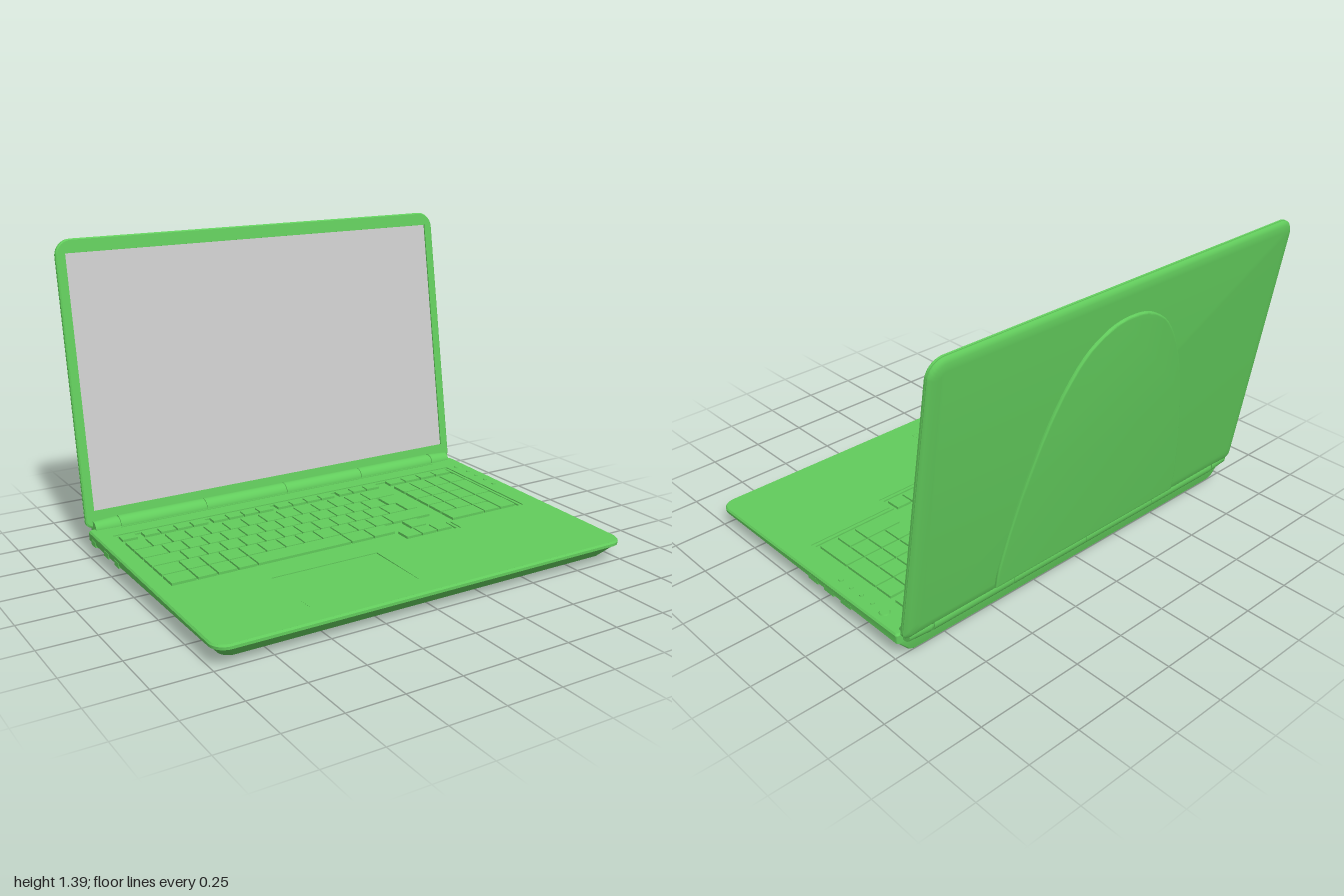
import * as THREE from 'three';
import { toCreasedNormals } from 'three/addons/utils/BufferGeometryUtils.js';

const green = new THREE.MeshStandardMaterial({ color: 0x62cc5c });
const grey = new THREE.MeshStandardMaterial({ color: 0xcccccc });

function add(parent, name, geometry, x = 0, y = 0, z = 0, material = green) {
  const mesh = new THREE.Mesh(geometry, material);
  mesh.name = name;
  mesh.position.set(x, y, z);
  parent.add(mesh);
  return mesh;
}

// Rounded rectangle, counter-clockwise, with separate lower and upper corner radii
function plate(hw, y0, y1, r0, r1) {
  const s = new THREE.Shape();
  s.absarc(hw - r0, y0 + r0, r0, -Math.PI / 2, 0);
  s.absarc(hw - r1, y1 - r1, r1, 0, Math.PI / 2);
  s.absarc(-hw + r1, y1 - r1, r1, Math.PI / 2, Math.PI);
  s.absarc(-hw + r0, y0 + r0, r0, Math.PI, Math.PI * 1.5);
  return s;
}

const rect = (x0, y0, x1, y1) => new THREE.Path([
  [x0, y0], [x1, y0], [x1, y1], [x0, y1],
].map(p => new THREE.Vector2(...p)));

// Skin stacked outlines from low z to high z, closing the lowest one
function loft(layers) {
  const pos = [], index = [];
  let n = 0;
  for (const [shape, height] of layers) {
    const pts = shape.getPoints(8);
    n = pts.length;
    for (const p of pts) pos.push(p.x, p.y, typeof height === 'function' ? height(p.y) : height);
  }
  for (let i = 0; i < layers.length - 1; i++) {
    for (let j = 0; j < n; j++) {
      const a = i * n + j, b = i * n + (j + 1) % n;
      index.push(a, b, b + n, a, b + n, a + n);
    }
  }
  for (let j = 1; j < n - 1; j++) index.push(0, j + 1, j);
  const g = new THREE.BufferGeometry();
  g.setAttribute('position', new THREE.Float32BufferAttribute(pos, 3));
  g.setIndex(index);
  return toCreasedNormals(g, 0.5);
}

const slab = (shape, depth) =>
  new THREE.ExtrudeGeometry(shape, { depth, bevelEnabled: false, curveSegments: 8 });

// Keyboard opening with the extra bay for the arrow keys
const keyboardOutline = d => new THREE.Path([
  [-0.93 + d, 0.4 - d], [-0.93 + d, -0.215 + d], [0.165 + d, -0.215 + d], [0.165 + d, -0.295 + d],
  [0.46 - d, -0.295 + d], [0.46 - d, -0.215 + d], [0.89 - d, -0.215 + d], [0.89 - d, 0.4 - d],
].map(p => new THREE.Vector2(...p)));

function buildKeys(deck) {
  const keys = new THREE.Group();
  keys.name = 'keys';
  deck.add(keys);
  const key = (x0, x1, z0, z1) => add(keys, 'key',
    new THREE.BoxGeometry(x1 - x0 - 0.008, z1 - z0 - 0.008, 0.012), (x0 + x1) / 2, -(z0 + z1) / 2, -0.007);
  const row = (x, z0, z1, widths) => {
    for (const w of widths) { key(x, x + w, z0, z1); x += w; }
  };
  const p = 0.093;
  const same = (n, w = p) => Array(n).fill(w);
  const z = [-0.308, -0.208, -0.108, -0.01, 0.09, 0.187];
  // Function keys in blocks
  for (const [x, n] of [[-0.912, 1], [-0.808, 4], [-0.472, 4], [-0.136, 4], [0.2, 3]]) {
    row(x, -0.388, -0.332, same(n, 0.079));
  }
  // Main rows
  row(-0.912, z[0], z[1], [...same(13), 0.141]);
  row(-0.912, z[1], z[2], [0.126, ...same(12)]);
  row(-0.912, z[2], z[3], [0.167, ...same(12)]);
  row(-0.912, z[3], z[4], [0.118, ...same(11), 0.209]);
  row(-0.912, z[4], z[5], [0.118, p, p, p, 0.463, 0.116, 0.116]);
  // Tall return key
  key(0.337, 0.438, z[1], z[2]);
  key(0.376, 0.438, z[2] - 0.008, z[3]);
  // Arrows
  key(0.268, 0.355, 0.095, 0.18);
  row(0.185, 0.185, 0.265, same(3, 0.084));
  // Number pad
  row(0.495, -0.388, -0.332, same(4));
  row(0.495, z[0], z[1], same(4));
  for (const i of [1, 2, 3]) row(0.495, z[i], z[i + 1], same(3));
  row(0.495, z[4], z[5], [2 * p, p]);
  key(0.774, 0.867, z[1], z[3]);
  key(0.774, 0.867, z[3], z[5]);
}

// Base is drawn in plan (y towards the back) and laid flat
function buildBase() {
  const base = new THREE.Group();
  base.name = 'base';
  base.rotation.x = -Math.PI / 2;
  const slope = 0.0195, top = y => 0.115 + slope * y;
  add(base, 'lowerShell', loft([
    [plate(0.92, -0.68, 0.51, 0.05, 0.01), 0.013],
    [plate(0.94, -0.705, 0.51, 0.05, 0.01), 0.02],
    [plate(0.99, -0.76, 0.515, 0.06, 0.01), 0.076],
    [plate(0.99, -0.76, 0.515, 0.06, 0.01), 0.081],
  ]));
  add(base, 'upperShell', loft([
    [plate(0.998, -0.77, 0.515, 0.065, 0.01), 0.08],
    [plate(1, -0.77, 0.515, 0.065, 0.01), y => top(y) - 0.008],
    [plate(0.994, -0.764, 0.509, 0.06, 0.01), top],
  ]));

  const deck = new THREE.Group();
  deck.name = 'deck';
  deck.position.z = 0.115;
  deck.rotation.x = Math.atan(slope);
  base.add(deck);
  const upper = plate(0.994, -0.764, 0.509, 0.06, 0.01);
  upper.holes.push(keyboardOutline(0), rect(-0.54, -0.65, -0.025, -0.34), rect(-0.86, 0.472, 0.86, 0.479));
  add(deck, 'palmRest', slab(upper, 0.005), 0, 0, -0.005);
  const ledge = plate(0.98, -0.75, 0.5, 0.06, 0.01);
  ledge.holes.push(keyboardOutline(0.014));
  add(deck, 'keyboardLedge', slab(ledge, 0.007), 0, 0, -0.0122);
  add(deck, 'keyboardFloor', new THREE.PlaneGeometry(1.9, 0.74), 0, 0.05, -0.0125);
  buildKeys(deck);

  // Touchpad rises to meet the deck at its front edge
  const pad = add(deck, 'touchpad', new THREE.BoxGeometry(0.512, 0.309, 0.004), -0.2825, -0.495, -0.0042);
  pad.rotation.x = -0.012;

  // Power button and indicator lights
  [[0.37, 0.026], [0.29, 0.011], [0.22, 0.011], [0.15, 0.011], [0.08, 0.011]].forEach(([y, r], i) => {
    const button = add(deck, i ? 'indicator' : 'powerButton', new THREE.CylinderGeometry(r * 0.8, r, 0.01, 20), 0.945, y, 0.001);
    button.rotation.x = Math.PI / 2;
  });

  // Side sockets
  for (const y of [-0.045, 0.065, 0.18]) {
    add(base, 'socket', new THREE.BoxGeometry(0.03, 0.066, 0.024), 0.984, y, 0.083);
  }
  for (const y of [0.18, 0.3, 0.45]) {
    add(base, 'socket', new THREE.BoxGeometry(0.03, 0.05, 0.024), -0.986, y, 0.083);
  }

  for (const x of [-0.88, 0, 0.88]) for (const y of [-0.6, 0.405]) {
    const foot = add(base, 'foot', new THREE.CylinderGeometry(0.032, 0.022, 0.016, 24), x, y, 0.008);
    foot.rotation.x = Math.PI / 2;
  }
  return base;
}

function buildHinge() {
  const hinge = new THREE.Group();
  hinge.name = 'hinge';
  hinge.position.set(0, 0.122, -0.525);
  const barrel = (name, x0, x1, r0, r1) => {
    const m = add(hinge, name, new THREE.CylinderGeometry(r0, r1, x1 - x0, 32), (x0 + x1) / 2);
    m.rotation.z = Math.PI / 2;
  };
  for (let i = 0; i < 4; i++) barrel('hingeBarrel', -0.854 + i * 0.427, -0.43 + i * 0.427, 0.041, 0.041);
  barrel('hingePin', -0.87, 0.87, 0.036, 0.036);
  barrel('hingeEnd', -0.97, -0.862, 0.033, 0.04);
  barrel('hingeEnd', 0.862, 0.97, 0.04, 0.033);
  return hinge;
}

// Lid is drawn upright facing +z, then leaned back
function buildLid() {
  const lid = new THREE.Group();
  lid.name = 'lid';
  lid.position.set(0, 0.125, -0.53);
  lid.rotation.x = -0.162;
  const outline = d => plate(1 - d, d, 1.285 - d, 0.03, 0.075 - d);
  add(lid, 'lidShell', loft([
    [outline(0.05), -0.036], [outline(0.02), -0.033], [outline(0.006), -0.027], [outline(0), -0.02],
    [outline(0), -0.016], [outline(0.004), -0.0155], [outline(0.004), -0.0135], [outline(0), -0.013],
    [outline(0), -0.005], [outline(0.006), 0],
  ]));
  const frame = outline(0.006);
  frame.holes.push(rect(-0.957, 0.074, 0.957, 1.222));
  add(lid, 'screenFrame', slab(frame, 0.01), 0, 0, -0.01);
  add(lid, 'screen', new THREE.PlaneGeometry(1.92, 1.152), 0, 0.648, -0.007, grey);

  // Raised arch on the back
  const half = [[0.54, 0.03], [0.535, 0.15], [0.48, 0.44], [0.38, 0.78], [0.26, 1.01], [0.13, 1.115]];
  const points = [...half, [0, 1.142], ...half.map(([x, y]) => [-x, y]).reverse()];
  const arch = new THREE.Shape();
  arch.moveTo(...points[0]);
  arch.splineThru(points.slice(1).map(p => new THREE.Vector2(...p)));
  const archGeometry = new THREE.ExtrudeGeometry(arch, {
    depth: 0.008, bevelThickness: 0.006, bevelSize: 0.008, bevelOffset: -0.008, bevelSegments: 3, curveSegments: 4,
  });
  add(lid, 'backArch', toCreasedNormals(archGeometry, 0.6), 0, 0, -0.042);
  return lid;
}

export function createModel() {
  const model = new THREE.Group();
  model.name = 'laptop';
  model.add(buildBase(), buildHinge(), buildLid());
  return model;
}
